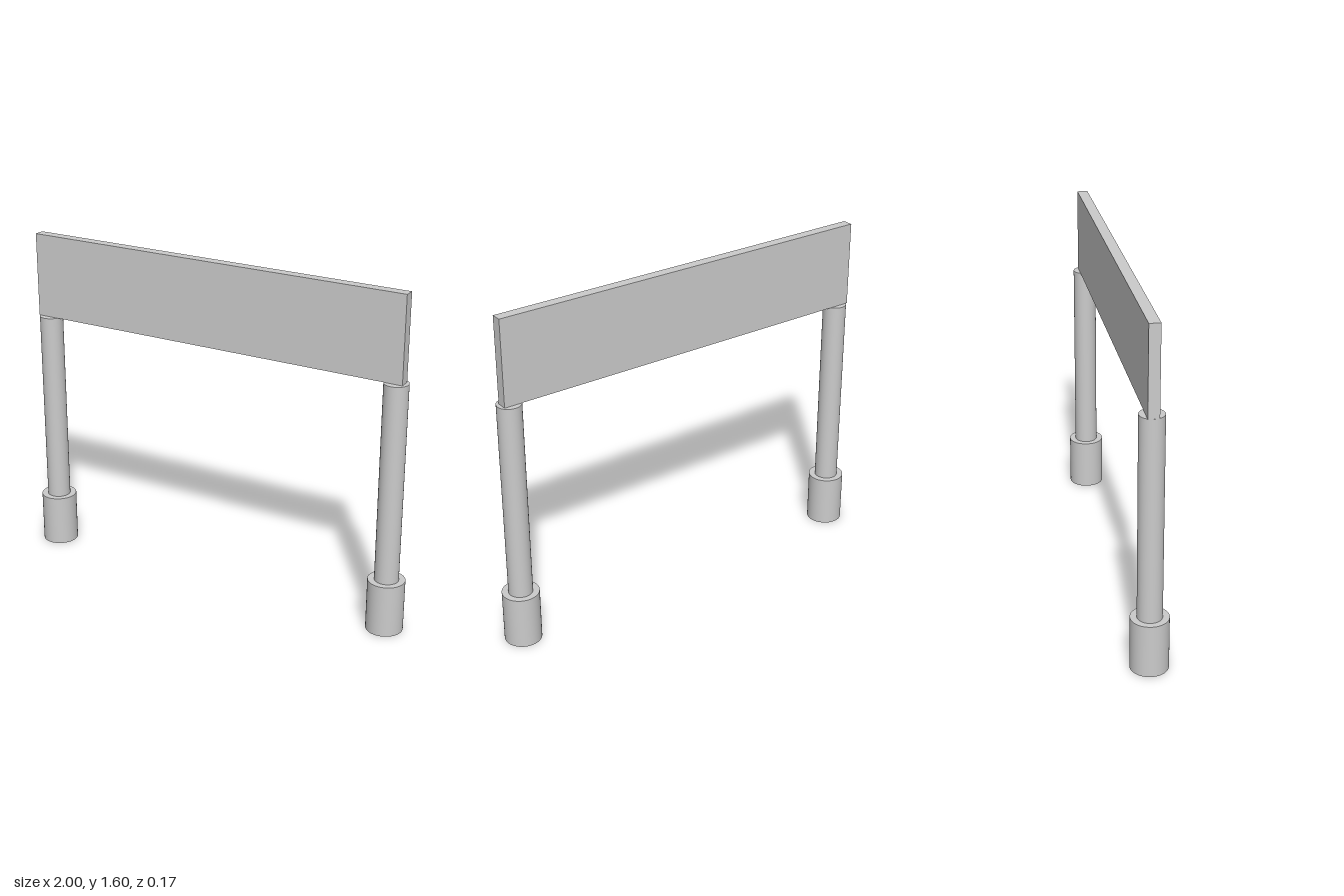
import * as THREE from 'three';

export function createModel() {
  const group = new THREE.Group();
  const material = new THREE.MeshStandardMaterial({ color: 0xcccccc });

  const add = (name, geometry, x, y, z) => {
    const mesh = new THREE.Mesh(geometry, material);
    mesh.name = name;
    mesh.position.set(x, y, z);
    group.add(mesh);
  };
  // Upright cylinder between two heights
  const column = (name, radius, x, y0, y1) =>
    add(name, new THREE.CylinderGeometry(radius, radius, y1 - y0, 48), x, (y0 + y1) / 2, 0);

  // Two posts, each standing in a wider foot
  for (const [side, s] of [['left', 1], ['right', -1]]) {
    column(side + 'Foot', 0.086, s * 0.914, 0, 0.25);
    column(side + 'Post', 0.056, s * 0.914, 0.25, 1.198);
  }

  // Sign board resting on the posts, set slightly towards the right
  add('board', new THREE.BoxGeometry(1.92, 0.406, 0.05), -0.009, 1.401, -0.003);

  return group;
}
